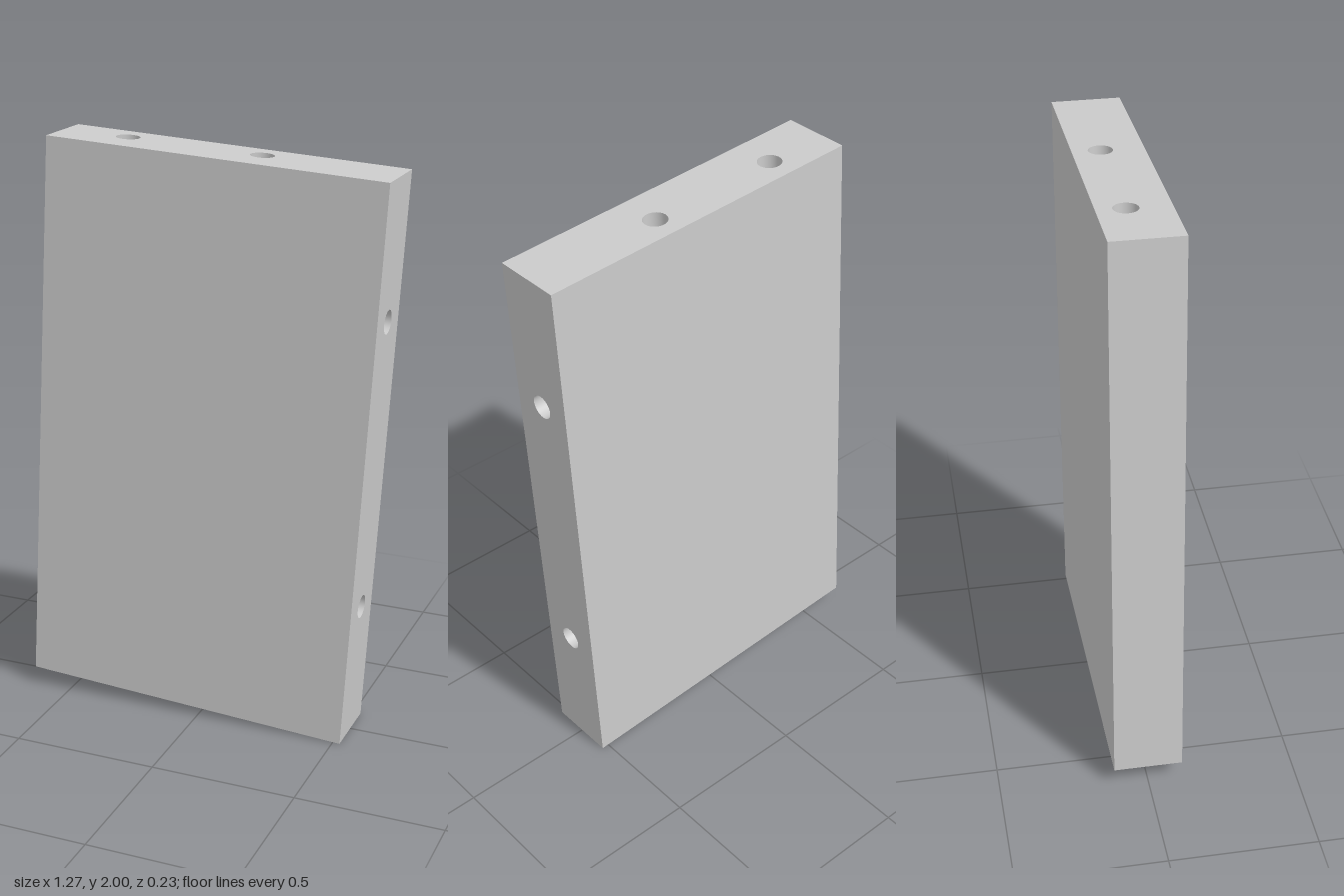
import * as THREE from 'three';

const W = 1.162, H = 1.937, D = 0.232, R = 0.04, TILT = 0.057;

const solid = new THREE.MeshStandardMaterial({ color: 0xcccccc });
const inner = new THREE.MeshStandardMaterial({ color: 0xcccccc, side: THREE.DoubleSide });

// A flat panel face looking along +z, with blind round holes [x, y, depth] sunk into it
function panelFace(name, w, h, holes = []) {
  const face = new THREE.Group();
  face.name = name;
  const shape = new THREE.Shape([
    new THREE.Vector2(-w / 2, -h / 2), new THREE.Vector2(w / 2, -h / 2),
    new THREE.Vector2(w / 2, h / 2), new THREE.Vector2(-w / 2, h / 2),
  ]);
  for (const [x, y, depth] of holes) {
    shape.holes.push(new THREE.Path().absarc(x, y, R, 0, Math.PI * 2, true));
    const wall = new THREE.Mesh(
      new THREE.CylinderGeometry(R, R, depth, 32, 1, true).rotateX(Math.PI / 2), inner);
    wall.name = 'dowelHoleWall';
    wall.position.set(x, y, -depth / 2);
    const floor = new THREE.Mesh(new THREE.CircleGeometry(R, 32), solid);
    floor.name = 'dowelHoleFloor';
    floor.position.set(x, y, -depth);
    face.add(wall, floor);
  }
  const surface = new THREE.Mesh(new THREE.ShapeGeometry(shape, 16), solid);
  surface.name = name + 'Surface';
  face.add(surface);
  return face;
}

export function createModel() {
  const model = new THREE.Group();
  model.name = 'drilledPanel';
  const board = new THREE.Group();
  board.name = 'board';
  const q = Math.PI / 2;

  const place = (face, pos, rx, ry) => {
    face.position.set(...pos);
    face.rotation.set(rx, ry, 0);
    board.add(face);
  };

  // Broad faces and the plain edge
  place(panelFace('frontFace', W, H), [0, 0, D / 2], 0, 0);
  place(panelFace('backFace', W, H), [0, 0, -D / 2], 0, Math.PI);
  place(panelFace('rightEdge', D, H), [-W / 2, 0, 0], 0, -q);

  // Edges drilled with pairs of dowel holes
  place(panelFace('leftEdge', D, H, [[0, 0.5, 0.3], [0, -0.5, 0.3]]), [W / 2, 0, 0], 0, q);
  place(panelFace('topEdge', W, D, [[-0.354, 0.024, 0.25], [0.115, 0.024, 0.25]]), [0, H / 2, 0], -q, 0);
  place(panelFace('bottomEdge', W, D, [[-0.36, 0, 0.25], [0.112, 0, 0.25]]), [0, -H / 2, 0], q, 0);

  // The whole board leans slightly sideways
  board.position.y = 1;
  board.rotation.z = -TILT;
  model.add(board);
  return model;
}
